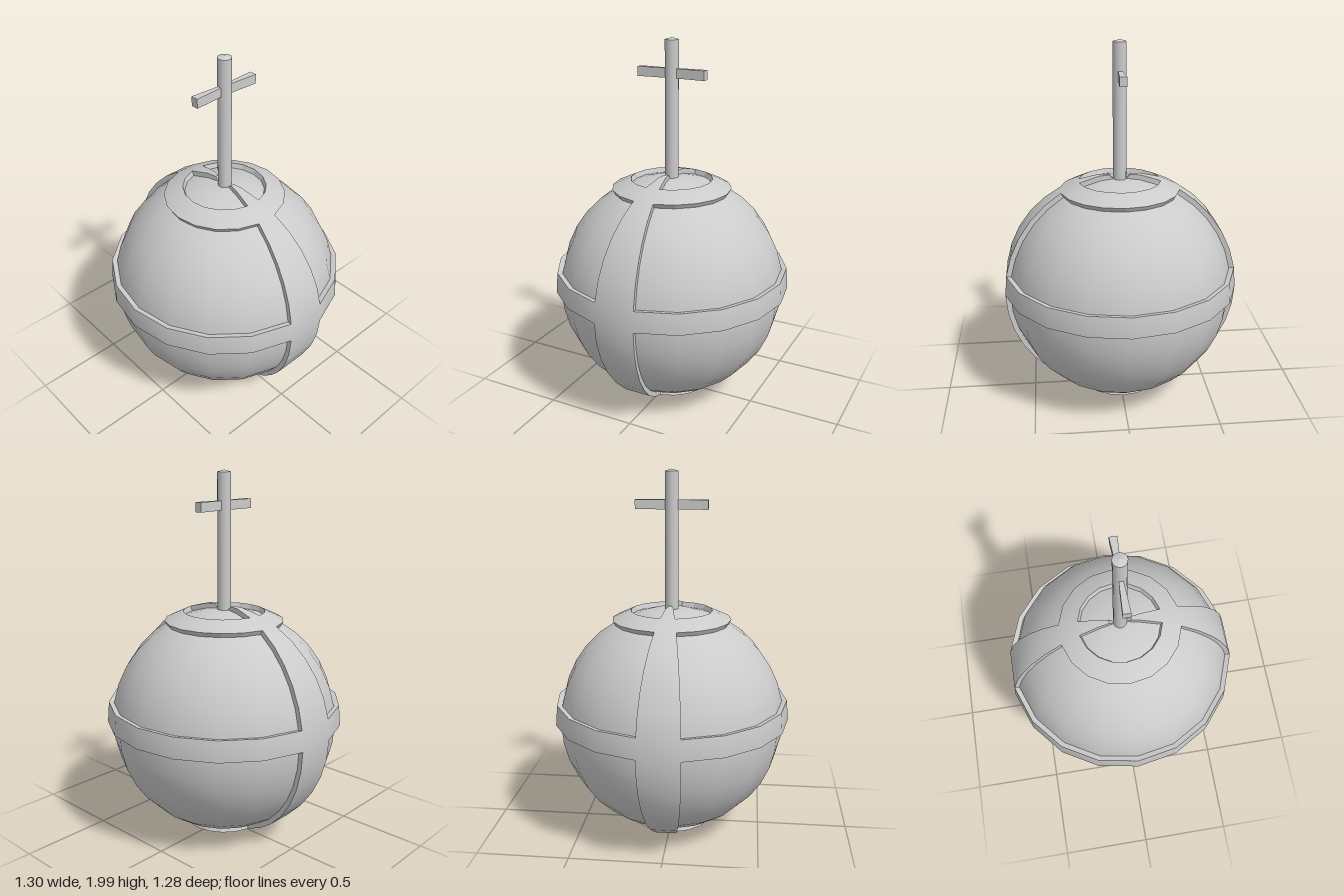
import * as THREE from 'three';

const CENTRE = 0.65, INNER = 0.62, OUTER = 0.648;
const rad = THREE.MathUtils.degToRad;
const material = new THREE.MeshStandardMaterial({ color: 0xcccccc });

// Point on a sphere about the orb's centre (polar and azimuth in degrees)
function onSphere(r, polar, azimuth) {
  const t = rad(polar), a = rad(azimuth);
  return new THREE.Vector3(
    r * Math.sin(t) * Math.cos(a), CENTRE + r * Math.cos(t), r * Math.sin(t) * Math.sin(a));
}

// Raised patch of the orb: smooth outer skin with sharp walls down to the inner ball
function raisedPatch(polars, azimuths, closed) {
  const positions = [], normals = [];
  const middle = new THREE.Vector3(0, CENTRE, 0);
  function quad(a, b, c, d, smooth) {
    const flat = c.clone().sub(a).cross(d.clone().sub(b)).normalize();
    for (const p of [a, b, c, a, c, d]) {
      positions.push(p.x, p.y, p.z);
      const n = smooth ? p.clone().sub(middle).normalize() : flat;
      normals.push(n.x, n.y, n.z);
    }
  }
  const radius = t => (t < 6 || t > 174 ? 0.643 : OUTER);
  const out = (t, a) => onSphere(radius(t), t, a);
  const inn = (t, a) => onSphere(INNER - 0.01, t < 6 ? 2.5 : t > 174 ? 177.5 : t, a);
  const rows = polars.length - 1, cols = azimuths.length - 1;
  for (let i = 0; i < rows; i++) {
    for (let j = 0; j < cols; j++) {
      const t0 = polars[i], t1 = polars[i + 1], a0 = azimuths[j], a1 = azimuths[j + 1];
      quad(out(t0, a1), out(t1, a1), out(t1, a0), out(t0, a0), true);
      if (i === 0) quad(out(t0, a0), inn(t0, a0), inn(t0, a1), out(t0, a1));
      if (i === rows - 1) quad(out(t1, a1), inn(t1, a1), inn(t1, a0), out(t1, a0));
      if (!closed && j === 0) quad(out(t0, a0), out(t1, a0), inn(t1, a0), inn(t0, a0));
      if (!closed && j === cols - 1) quad(inn(t0, a1), inn(t1, a1), out(t1, a1), out(t0, a1));
    }
  }
  const g = new THREE.BufferGeometry();
  g.setAttribute('position', new THREE.Float32BufferAttribute(positions, 3));
  g.setAttribute('normal', new THREE.Float32BufferAttribute(normals, 3));
  return g;
}

export function createModel() {
  const group = new THREE.Group();
  const add = (name, geometry, y = 0) => {
    const mesh = new THREE.Mesh(geometry, material);
    mesh.name = name;
    mesh.position.y = y;
    group.add(mesh);
    return mesh;
  };

  // Inner ball
  add('ball', new THREE.SphereGeometry(INNER, 18, 18), CENTRE);

  // Horizontal bands running all the way round
  const around = Array.from({ length: 19 }, (_, i) => i * 20);
  add('topCollar', raisedPatch([20, 30], around, true));
  add('equatorBand', raisedPatch([80, 90], around, true));
  add('bottomCollar', raisedPatch([160, 170], around, true));

  // Tapering ribs from pole to pole, front and back
  const down = Array.from({ length: 19 }, (_, i) => THREE.MathUtils.clamp(i * 10, 5.3, 174.7));
  add('frontRib', raisedPatch(down, [80, 100], false));
  add('backRib', raisedPatch(down, [260, 280], false));

  // Upright of the cross with a slightly domed end
  add('upright', new THREE.CylinderGeometry(0.036, 0.036, 0.75, 18), 1.615);
  add('uprightCap', new THREE.ConeGeometry(0.036, 0.01, 18, 1, true), 1.995);

  // Crossbar, flaring in depth towards both ends
  const bar = new THREE.BoxGeometry(0.384, 0.05, 0.04, 2, 1, 1);
  const p = bar.attributes.position;
  for (let i = 0; i < p.count; i++) {
    p.setZ(i, p.getZ(i) * (0.45 + 0.55 * Math.abs(p.getX(i)) / 0.192));
  }
  bar.computeVertexNormals();
  add('crossbar', bar, 1.82);

  return group;
}
